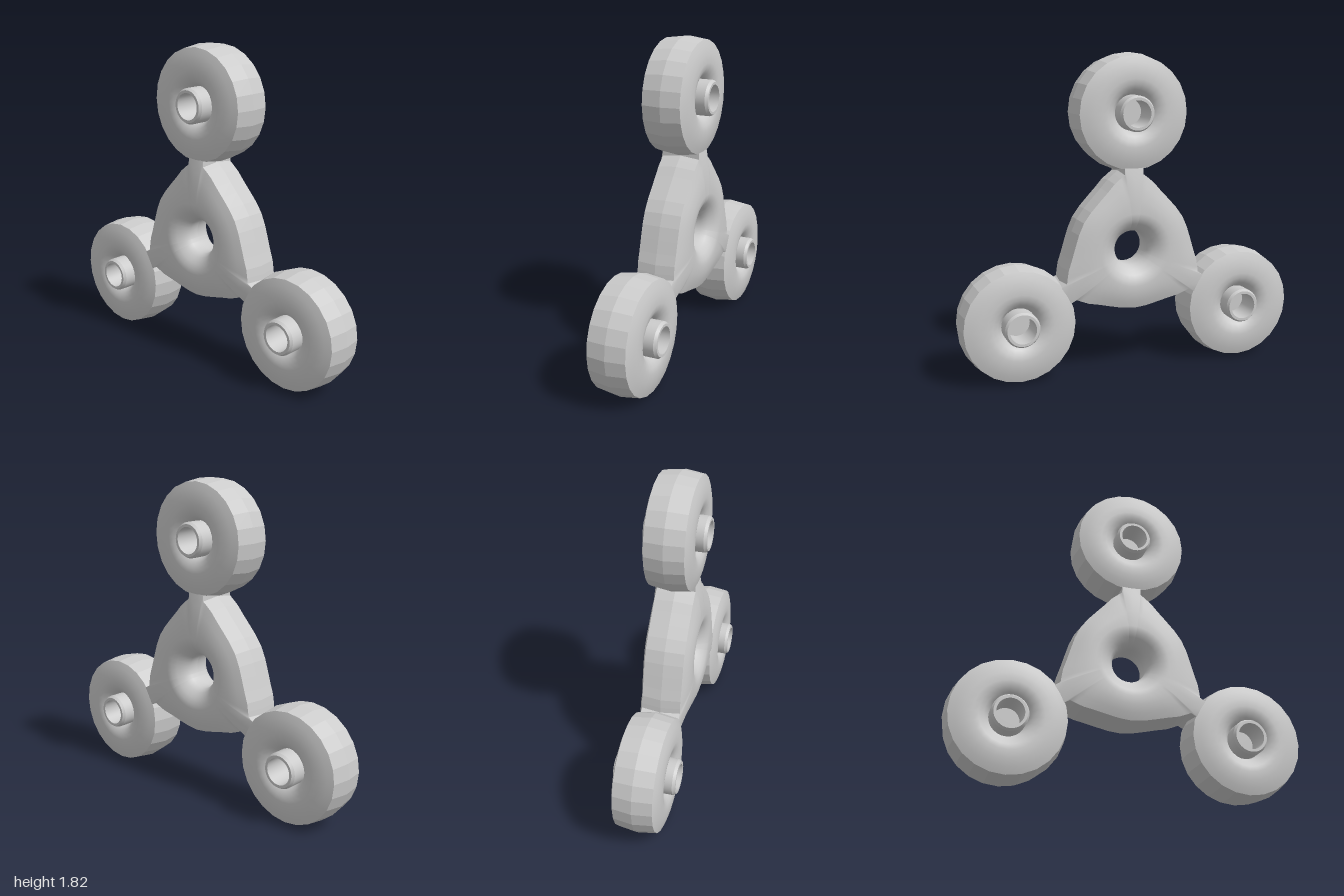
import * as THREE from 'three';
import { toCreasedNormals } from 'three/addons/utils/BufferGeometryUtils.js';

const grey = new THREE.MeshStandardMaterial({ color: 0xcccccc });
const greyFlat = new THREE.MeshStandardMaterial({ color: 0xcccccc, flatShading: true });

const HUB_Y = 0.722, ARM = 0.771, EDGE_Z = 0.11;

// Skin closed loops of equal length into a surface
function loft(loops) {
  const n = loops[0].length, index = [];
  for (let i = 0; i < loops.length - 1; i++) {
    for (let j = 0; j < n; j++) {
      const k = (j + 1) % n;
      const a = i * n + j, b = a + n, c = (i + 1) * n + k, d = i * n + k;
      index.push(a, b, c, a, c, d);
    }
  }
  const g = new THREE.BufferGeometry().setFromPoints(loops.flat());
  g.setIndex(index);
  g.computeVertexNormals();
  return g;
}

// Pierced disc: smooth dished faces plus a faceted rim.
// outline: [angle, radius]; inner: [radius, z]; outer: [fraction to edge, z]
function piercedBody(name, outline, inner, outer, bulge) {
  const loop = (radius, z) => outline.map(([a, R]) => {
    const r = radius(R);
    return new THREE.Vector3(r * Math.cos(a), r * Math.sin(a), z);
  });
  const last = inner[inner.length - 1][0];
  const face = (s) => [
    ...inner.map(([r, z]) => loop(() => r, s * z)),
    ...outer.map(([f, z]) => loop((R) => last + (R - last) * f, s * z)),
  ];
  const group = new THREE.Group();
  group.name = name;
  const add = (part, geometry, material) => {
    const mesh = new THREE.Mesh(geometry, material);
    mesh.name = part;
    group.add(mesh);
  };
  add('frontFace', loft(face(1)), grey);
  add('backFace', loft(face(-1).reverse()), grey);
  add('rim', loft([
    loop((R) => R, EDGE_Z), loop((R) => R * bulge, 0), loop((R) => R, -EDGE_Z),
  ]), greyFlat);
  return group;
}

// Hub outline: one half sector, mirrored and repeated for the three arms
function hubOutline() {
  const half = [[0, 0.475], [6.6, 0.475], [7.4, 0.432], [11, 0.418], [17, 0.398],
    [25, 0.37], [36, 0.35], [48, 0.343], [60, 0.343]];
  const sector = [
    ...half.slice(1, -1).reverse().map(([a, r]) => [-a, r]),
    ...half,
  ];
  const points = [];
  for (const arm of [90, 210, 330]) {
    for (const [a, r] of sector) points.push([THREE.MathUtils.degToRad(arm + a), r]);
  }
  return points;
}

// Hollow-ended pin through each weight
function pinGeometry() {
  const end = [[0.1, 0.16], [0.09, 0.176], [0.075, 0.176], [0.075, 0.02], [0, 0.02]];
  const profile = [
    ...end.map(([r, z]) => new THREE.Vector2(r, -z)).reverse(),
    ...end.map(([r, z]) => new THREE.Vector2(r, z)),
  ];
  const g = new THREE.LatheGeometry(profile, 32).rotateX(Math.PI / 2);
  return toCreasedNormals(g, 0.5);
}

export function createModel() {
  const model = new THREE.Group();
  model.name = 'spinner';

  // Central hub with its through hole and three necks
  const hub = piercedBody('hub', hubOutline(),
    [[0.1, 0], [0.1, 0.06], [0.12, 0.092], [0.15, 0.12], [0.18, 0.135], [0.21, 0.14]],
    [[0.35, 0.138], [0.7, 0.126], [1, EDGE_Z]], 1.03);
  hub.position.y = HUB_Y;
  model.add(hub);

  // Three round weights, each with a pin
  const SIDES = 24;
  const circle = Array.from({ length: SIDES }, (_, i) => [i / SIDES * Math.PI * 2, 0.316]);
  const pin = pinGeometry();
  ['top', 'right', 'left'].forEach((side, i) => {
    const a = Math.PI / 2 + i * Math.PI * 2 / 3;
    const weight = piercedBody(side + 'Weight', circle,
      [[0.095, 0.06], [0.11, 0.092], [0.13, 0.115], [0.16, 0.13], [0.19, 0.135]],
      [[0.35, 0.132], [0.7, 0.123], [1, EDGE_Z]], 0.331 / 0.316);
    const pinMesh = new THREE.Mesh(pin, grey);
    pinMesh.name = side + 'Pin';
    weight.add(pinMesh);
    weight.position.set(Math.cos(a) * ARM, HUB_Y + Math.sin(a) * ARM, 0);
    model.add(weight);
  });

  return model;
}
